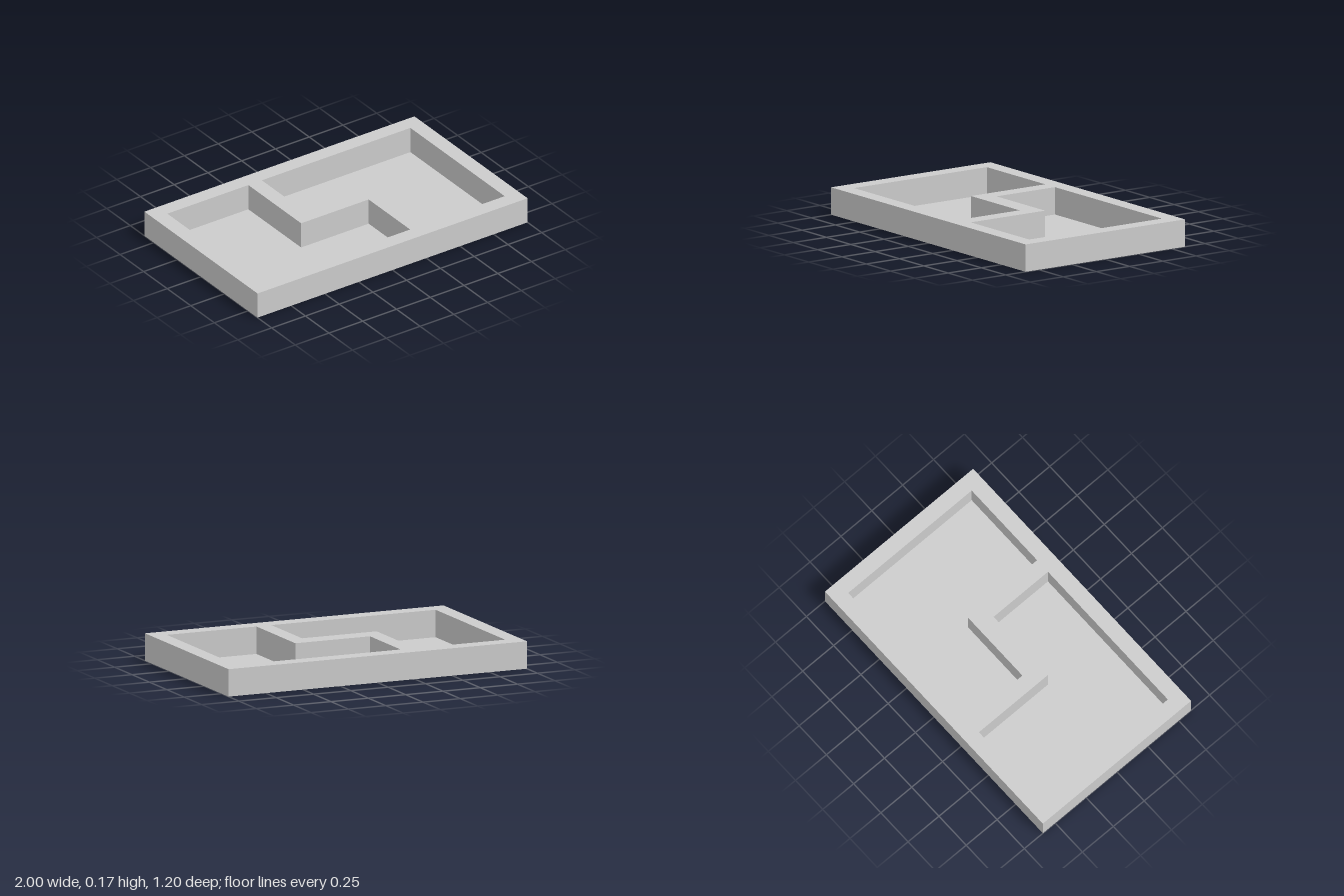
import * as THREE from 'three';
import { mergeGeometries } from 'three/addons/utils/BufferGeometryUtils.js';

const HEIGHT = 0.17;

// Outlines on the ground plane as [x, -z]; outer runs counter-clockwise, pockets clockwise
const outer = [[-1, -0.6], [1, -0.6], [1, 0.6], [-1, 0.6]];
const leftPocket = [[-0.9, 0.5], [-0.3, 0.5], [-0.3, -0.06], [0.2, -0.06], [0.2, -0.5], [-0.9, -0.5]];
const rightPocket = leftPocket.map(([x, y]) => [-x, -y]); // half-turn copy

const toPoints = (outline) => outline.map(([x, y]) => new THREE.Vector2(x, y));

// Flat sheet at height y, facing up
function sheet(outline, y, holes = []) {
  const shape = new THREE.Shape(toPoints(outline));
  for (const hole of holes) shape.holes.push(new THREE.Path(toPoints(hole)));
  return new THREE.ShapeGeometry(shape).rotateX(-Math.PI / 2).translate(0, y, 0);
}

// Thin vertical wall along a closed outline, facing to the right of travel
function wall(outline) {
  return mergeGeometries(outline.map(([x0, y0], i) => {
    const [x1, y1] = outline[(i + 1) % outline.length];
    return new THREE.PlaneGeometry(Math.hypot(x1 - x0, y1 - y0), HEIGHT)
      .rotateY(Math.atan2(y1 - y0, x1 - x0))
      .translate((x0 + x1) / 2, HEIGHT / 2, -(y0 + y1) / 2);
  }));
}

export function createModel() {
  const group = new THREE.Group();
  group.name = 'dividedTray';
  const material = new THREE.MeshStandardMaterial({ color: 0xcccccc, side: THREE.DoubleSide });
  const add = (name, geometry) => {
    const mesh = new THREE.Mesh(geometry, material);
    mesh.name = name;
    group.add(mesh);
  };

  // Thin moulded shell: the rim and the stepped divider are hollow underneath
  add('outerWall', wall(outer));
  add('rimAndDivider', sheet(outer, HEIGHT, [leftPocket, rightPocket]));

  // Two interlocking L-shaped pockets
  for (const [name, outline] of [['rightPocket', leftPocket], ['leftPocket', rightPocket]]) {
    add(name + 'Wall', wall(outline));
    add(name + 'Floor', sheet(outline, 0));
  }
  return group;
}
